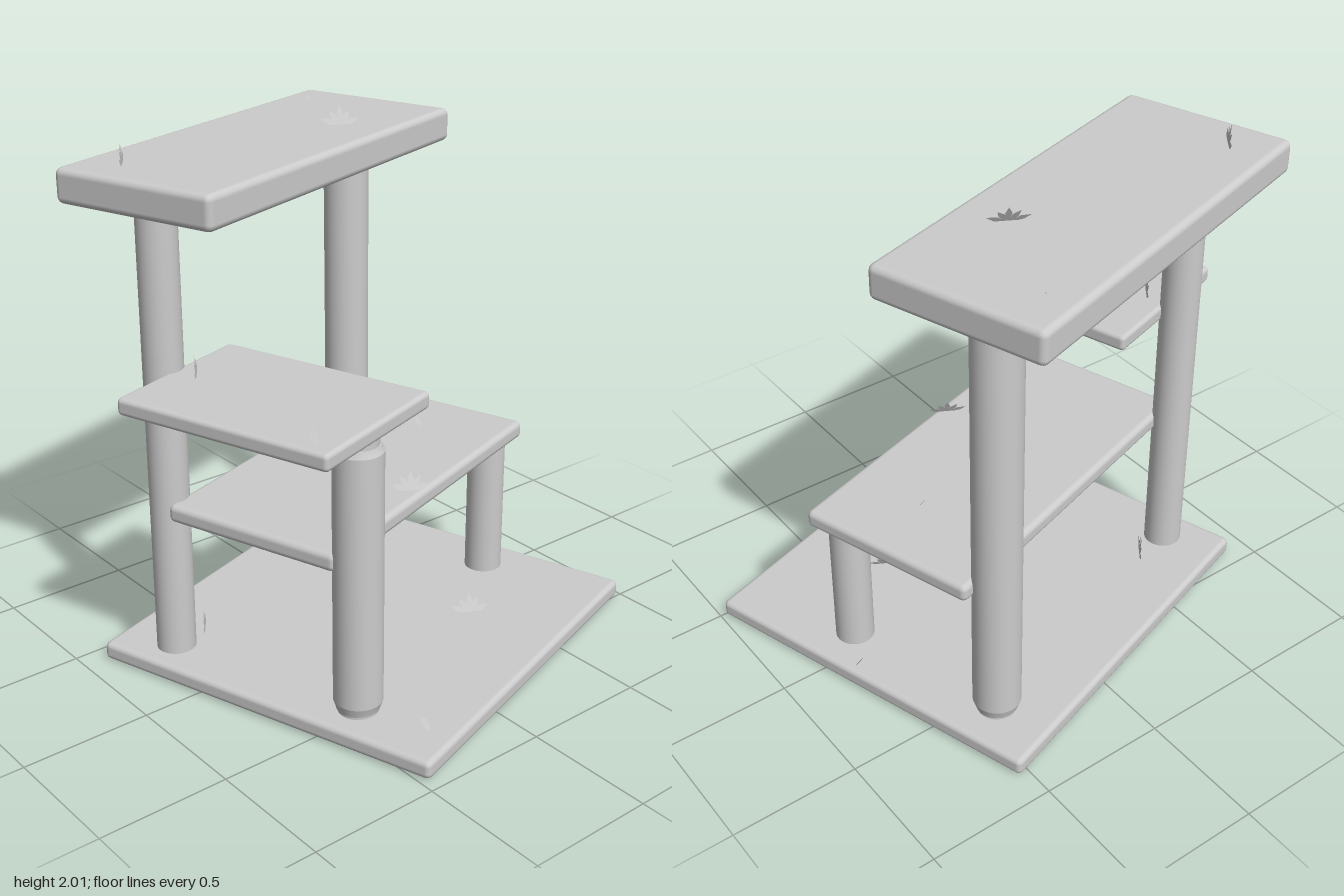
import * as THREE from 'three';
import { toCreasedNormals } from 'three/addons/utils/BufferGeometryUtils.js';
import { RoundedBoxGeometry } from 'three/addons/geometries/RoundedBoxGeometry.js';

const TURN = 0.306; // the whole tower is turned about the vertical
const ROD = 0.075; // radius of the bare posts

export function createModel() {
  const root = new THREE.Group();
  root.name = 'tieredTower';
  const grey = new THREE.MeshStandardMaterial({ color: 0xcccccc, side: THREE.DoubleSide });
  grey.name = 'lightGrey';

  const add = (name, geometry, x, y, z, turn = 0) => {
    const mesh = new THREE.Mesh(geometry, grey);
    mesh.name = name;
    mesh.position.set(x, y, z);
    mesh.rotation.y = turn;
    root.add(mesh);
  };

  // Boards with softened edges and corners
  const board = (name, x, z, y0, y1, width, depth, radius) =>
    add(name, new RoundedBoxGeometry(width, y1 - y0, depth, 2, radius), x, (y0 + y1) / 2, z, TURN);
  board('base', 0.035, -0.035, 0.002, 0.073, 1.455, 1.53, 0.022);
  board('lowerShelf', -0.041, -0.019, 0.637, 0.709, 0.73, 1.39, 0.024);
  board('middleShelf', 0.215, 0.55, 1.152, 1.217, 0.87, 0.64, 0.018);
  board('topShelf', -0.405, 0.108, 1.807, 1.937, 0.677, 1.55, 0.026);

  // Posts: bare rods, two of them wrapped in a sleeve with bevelled ends
  const post = (name, x, z, top) =>
    add(name, new THREE.CylinderGeometry(ROD, ROD, top, 32), x, top / 2, z);
  const sleeve = (name, x, z, top) => {
    const low = 0.085, high = top - 0.035, r = 0.091;
    const profile = [[ROD, low], [0.08, low], [0.084, 0.1], [r, 0.12],
      [r, top - 0.06], [0.083, top - 0.045], [0.08, high], [ROD, high]];
    const geo = new THREE.LatheGeometry(profile.map(p => new THREE.Vector2(...p)), 32);
    add(name, toCreasedNormals(geo, 0.3), x, 0, z);
  };
  post('frontTallPost', -0.242, 0.702, 1.815);
  post('shortPost', 0.037, -0.65, 0.645);
  post('backTallPost', -0.609, -0.44, 1.815);
  sleeve('backTallSleeve', -0.609, -0.44, 1.81);
  post('middlePost', 0.541, 0.445, 1.16);
  sleeve('middleSleeve', 0.541, 0.445, 1.155);

  // Leaves: pointed blades fanned out in one tilted plane from the foot of a tuft
  const leafGeometry = (len, half) => {
    const s = new THREE.Shape([[-0.003, 0], [0.003, 0], [half, len * 0.6], [0, len], [-half, len * 0.6]]
      .map(p => new THREE.Vector2(...p)));
    return new THREE.ShapeGeometry(s);
  };
  const tuft = (name, [x, y, z], turn, tilt, size, half, angles) => {
    const group = new THREE.Group();
    group.name = name;
    group.position.set(x, y - 0.004, z);
    group.rotation.y = turn;
    angles.forEach((a, i) => {
      const leaf = new THREE.Mesh(leafGeometry(size * (1 - 0.12 * (i % 2)), half), grey);
      leaf.name = 'leaf';
      leaf.rotation.set(tilt, 0, a);
      group.add(leaf);
    });
    root.add(group);
  };

  // Tufts leaning back, and upright tufts facing the other way
  const fan = [-1.2, -0.6, -0.05, 0.55, 1.15];
  for (const p of [[-0.36, 1.937, -0.21], [0.3, 0.709, -0.01], [0.3, 0.073, -0.33]])
    tuft('leaningTuft', p, 1.08, -0.5, 0.082, 0.012, fan);
  for (const p of [[-0.38, 1.937, 0.74], [-0.1, 1.217, 0.655], [-0.27, 0.073, 0.55]])
    tuft('uprightTuft', p, 2.5, -0.1, 0.08, 0.012, fan);
  tuft('smallTuft', [0.635, 1.217, 0.69], 2, -0.5, 0.065, 0.013, [-0.35, 0.2]);

  // Single sprouts
  tuft('sprout', [0.18, 1.217, 0.395], 2.5, 0, 0.06, 0.017, [-0.4]);
  const sprouts = [
    [-0.78, 1.937, -0.39, 0.027], [-0.125, 0.709, -0.44, 0.055],
    [0.805, 0.073, 0.335, 0.062], [-0.12, 0.073, -0.75, 0.06],
  ];
  for (const [x, y, z, size] of sprouts) tuft('sprout', [x, y, z], 2, -0.6, size, size * 0.35, [0.1]);

  return root;
}
